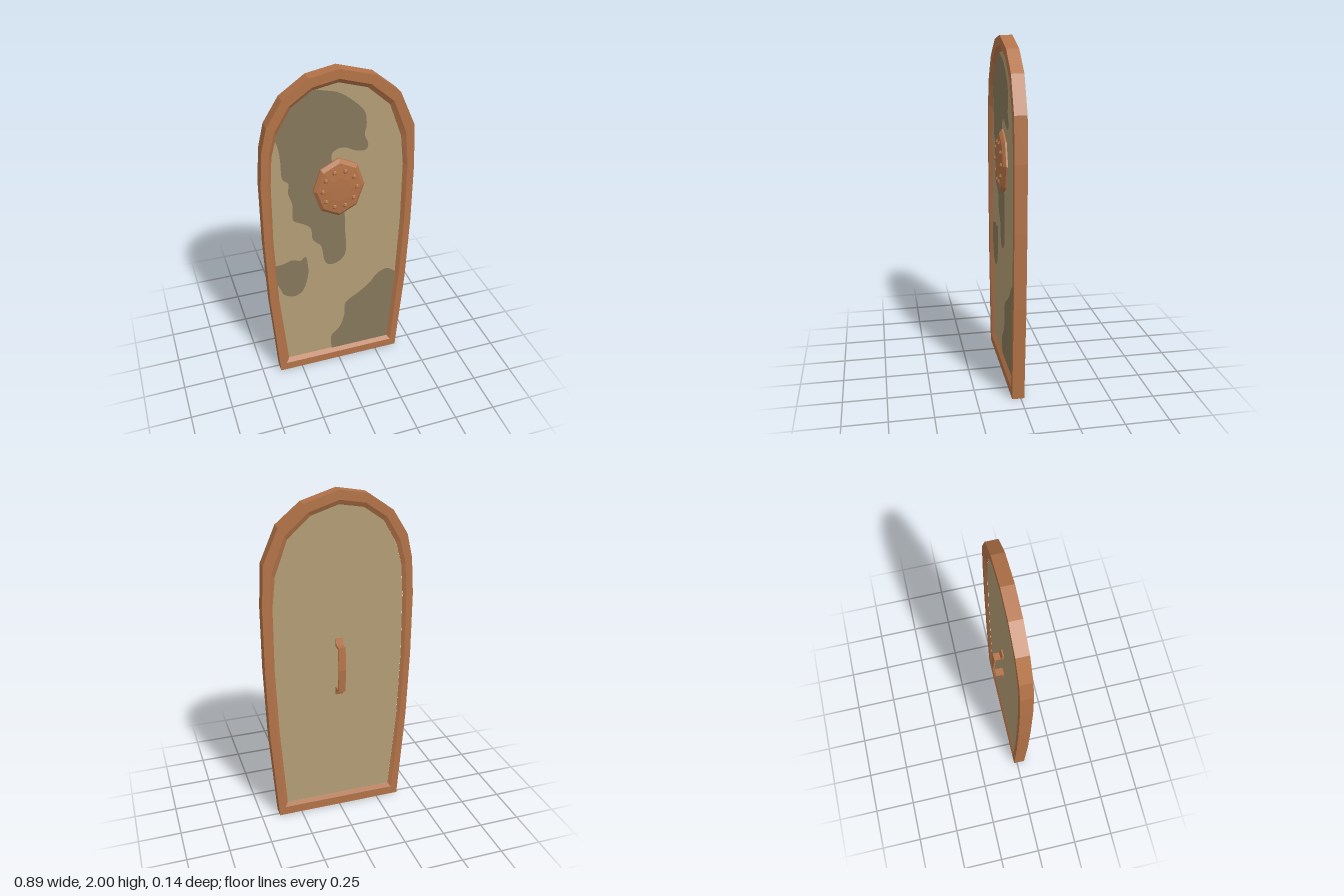
import * as THREE from 'three';

const copper = new THREE.MeshStandardMaterial({ color: 0xb37348 });
copper.name = 'copper brown';
copper.flatShading = true;
const tan = new THREE.MeshStandardMaterial({ color: 0xb29d75 });
tan.name = 'tan';
const olive = new THREE.MeshStandardMaterial({ color: 0x87775b });
olive.name = 'dark olive';

const FRONT = 0.05, BACK = -0.02, PANEL_FRONT = 0.03, PANEL_BACK = -0.006;

// Outlines run clockwise from the bottom left corner, seen from the front
const OUTER = [
  [-0.39, 0], [-0.43, 0.58], [-0.443, 1.0], [-0.443, 1.375], [-0.428, 1.59], [-0.395, 1.73],
  [-0.307, 1.87], [-0.164, 1.97], [0, 2], [0.2, 1.94], [0.34, 1.825], [0.428, 1.625],
  [0.443, 1.375], [0.443, 1.0], [0.43, 0.57], [0.39, 0],
];
const INNER = [
  [-0.33, 0.08], [-0.373, 0.58], [-0.387, 1.0], [-0.383, 1.375], [-0.37, 1.55], [-0.335, 1.68],
  [-0.255, 1.815], [-0.14, 1.895], [0, 1.92], [0.16, 1.87], [0.288, 1.755], [0.362, 1.555],
  [0.382, 1.375], [0.384, 1.0], [0.37, 0.6], [0.335, 0.08],
];
// Lip where the flat of the frame meets its inner bevel
const LIP = INNER.map(([x, y], i) => [
  x + (OUTER[i][0] - x) * 0.33, y + (OUTER[i][1] - y) * 0.33,
]);

const vectors = (points) => points.map(([x, y]) => new THREE.Vector2(x, y));

function addMesh(group, name, geometry, material) {
  const mesh = new THREE.Mesh(geometry, material);
  mesh.name = name;
  group.add(mesh);
  return mesh;
}

// Skin over a row of equal-length closed loops of [x, y, z]
function skin(loops) {
  const n = loops[0].length;
  const index = [];
  for (let r = 0; r < loops.length - 1; r++) {
    for (let i = 0; i < n; i++) {
      const j = (i + 1) % n;
      const a = r * n + i, b = r * n + j, c = a + n, d = b + n;
      index.push(a, b, d, a, d, c);
    }
  }
  const g = new THREE.BufferGeometry();
  g.setAttribute('position', new THREE.Float32BufferAttribute(loops.flat(2), 3));
  g.setIndex(index);
  const flat = g.toNonIndexed();
  flat.computeVertexNormals();
  return flat;
}

// Irregular painted patches; edges touching the rim tuck under the frame
const PATCHES = {
  upperPatch: [
    [-0.36, 1.68], [-0.27, 1.82], [-0.16, 1.895], [-0.07, 1.885], [0.01, 1.86], [0.1, 1.79],
    [0.148, 1.73], [0.158, 1.655], [0.148, 1.6], [0.17, 1.54], [0.155, 1.505], [0.1, 1.51],
    [0.035, 1.54], [-0.02, 1.53], [-0.04, 1.48], [0, 1.3], [0.035, 1.12], [0.04, 1.0],
    [0.048, 0.86], [0.025, 0.795], [-0.025, 0.765], [-0.07, 0.775], [-0.09, 0.82], [-0.105, 0.91],
    [-0.155, 0.97], [-0.165, 1.05], [-0.21, 1.09], [-0.268, 1.13], [-0.268, 1.23],
    [-0.29, 1.31], [-0.285, 1.37], [-0.32, 1.41], [-0.325, 1.52], [-0.335, 1.6],
  ],
  sidePatch: [
    [-0.39, 0.83], [-0.33, 0.835], [-0.28, 0.85], [-0.235, 0.835], [-0.2, 0.855], [-0.19, 0.8],
    [-0.188, 0.73], [-0.205, 0.65], [-0.235, 0.595], [-0.285, 0.577], [-0.34, 0.605],
    [-0.36, 0.65], [-0.385, 0.72],
  ],
  lowerPatch: [
    [0.38, 0.59], [0.345, 0.63], [0.305, 0.645], [0.25, 0.62], [0.2, 0.555], [0.13, 0.5],
    [0.048, 0.44], [0.04, 0.34], [0.01, 0.25], [-0.045, 0.19], [-0.048, 0.125], [-0.03, 0.07],
    [0.1, 0.07], [0.22, 0.07], [0.342, 0.07], [0.352, 0.2], [0.367, 0.4],
  ],
};

function buildBoss() {
  const boss = new THREE.Group();
  boss.name = 'boss';
  boss.position.y = 1.297;
  const ring = (scale, z) => Array.from({ length: 8 }, (_, i) => {
    const a = (-i * Math.PI) / 4;
    return [Math.sin(a) * 0.15 * scale, Math.cos(a) * 0.186 * scale, z];
  });
  // Eight-sided plate with a bevelled rim and a slightly domed face
  addMesh(boss, 'bossPlate', skin([
    ring(1, PANEL_FRONT - 0.005), ring(1, 0.04), ring(0.88, 0.056), ring(0.4, 0.065), ring(0, 0.066),
  ]), copper);
  const rivet = new THREE.SphereGeometry(0.015, 6, 4);
  for (let i = 0; i < 10; i++) {
    const a = ((i + 0.5) * Math.PI) / 5;
    const m = addMesh(boss, 'rivet', rivet, copper);
    m.position.set(Math.sin(a) * 0.1, Math.cos(a) * 0.115, 0.06);
    m.scale.z = 0.8;
  }
  return boss;
}

function buildHandle() {
  // Side profile as [z, height above the middle], mirrored top to bottom
  const outside = [[-0.004, 0.178], [-0.015, 0.178], [-0.025, 0.142], [-0.062, 0.142], [-0.073, 0]];
  const inside = [[-0.063, 0], [-0.053, 0.132], [-0.004, 0.132]];
  const flip = (pts) => pts.map(([z, y]) => [z, -y]).reverse();
  const profile = [...outside, ...flip(outside).slice(1), ...flip(inside).slice(0, -1), ...inside];
  const width = 0.043;
  const g = new THREE.ExtrudeGeometry(new THREE.Shape(vectors(profile)), {
    depth: width, bevelEnabled: false,
  });
  g.rotateY(-Math.PI / 2);
  g.translate(width / 2, 0.968, 0);
  return g;
}

export function createModel() {
  const shield = new THREE.Group();
  shield.name = 'shield';

  // Frame: closed band around the panel with bevels on both inner edges
  const at = (outline, z) => outline.map(([x, y]) => [x, y, z]).reverse();
  addMesh(shield, 'frame', skin([
    at(INNER, PANEL_BACK - 0.001), at(LIP, BACK), at(OUTER, BACK),
    at(OUTER, FRONT), at(LIP, FRONT), at(INNER, PANEL_FRONT),
  ]), copper);

  // Panel
  const panel = new THREE.ExtrudeGeometry(new THREE.Shape(vectors(INNER)), {
    depth: PANEL_FRONT - PANEL_BACK, bevelEnabled: false,
  });
  panel.translate(0, 0, PANEL_BACK);
  addMesh(shield, 'panel', panel, tan);

  // Painted patches on the front
  for (const [name, points] of Object.entries(PATCHES)) {
    const curve = new THREE.SplineCurve(vectors([...points, points[0]]));
    const outline = curve.getPoints(points.length * 4).slice(0, -1);
    const g = new THREE.ShapeGeometry(new THREE.Shape(outline));
    g.translate(0, 0, PANEL_FRONT + 0.002);
    addMesh(shield, name, g, olive);
  }

  shield.add(buildBoss());
  addMesh(shield, 'handle', buildHandle(), copper);

  // Centre the depth, keeping the thin body slightly forward
  return shield;
}
